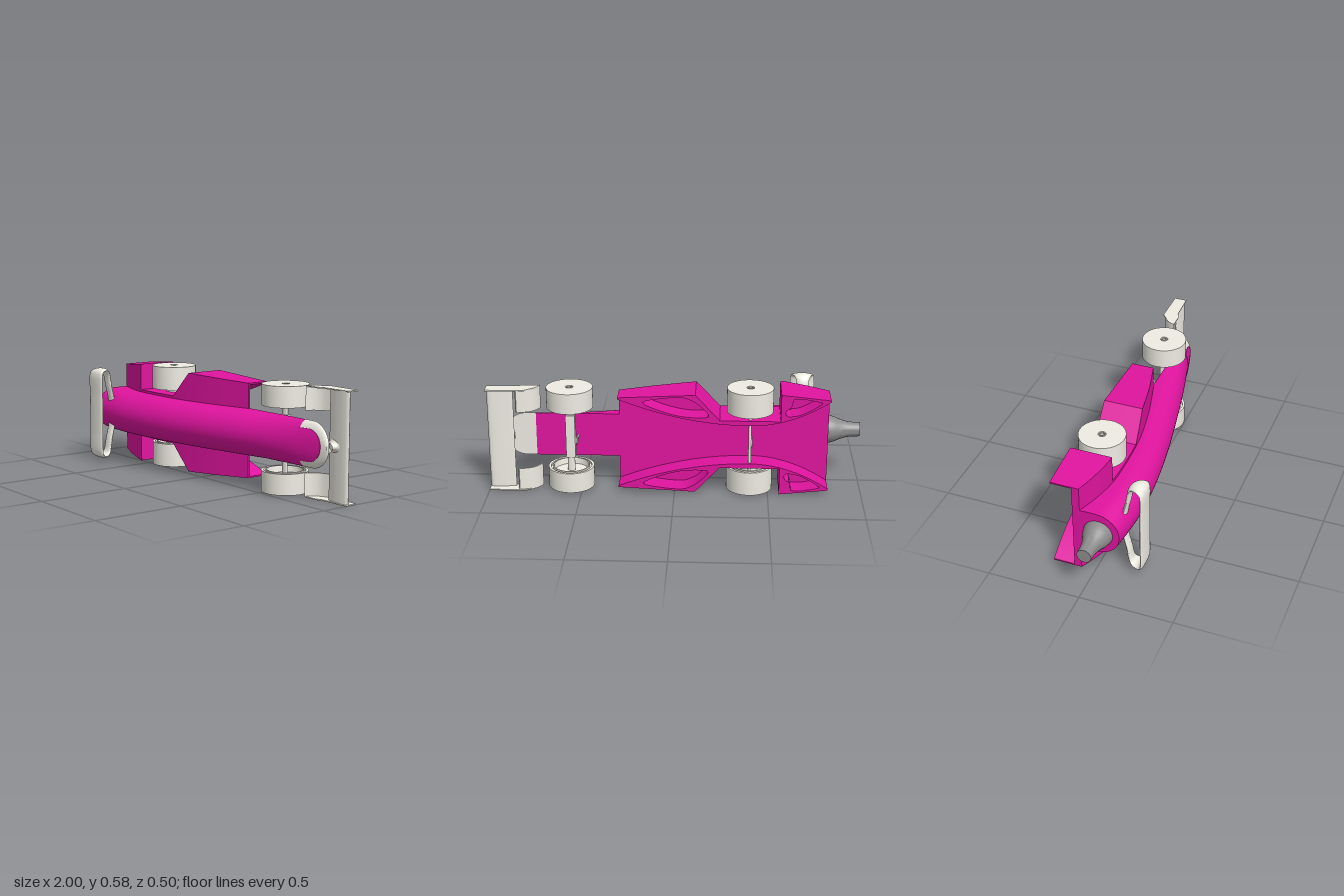
import * as THREE from 'three';
import { toCreasedNormals } from 'three/addons/utils/BufferGeometryUtils.js';

const paint = new THREE.MeshStandardMaterial({ color: 0xe0149f });
const pale = new THREE.MeshStandardMaterial({ color: 0xeeece2 });
const paleThin = new THREE.MeshStandardMaterial({ color: 0xeeece2, side: THREE.DoubleSide });
const dark = new THREE.MeshStandardMaterial({ color: 0x8c8c8c });

// Linear lookup in a list of [x, value] pairs
function lookup(table, x) {
  for (let i = 1; i < table.length; i++) {
    const [x0, v0] = table[i - 1], [x1, v1] = table[i];
    if (x <= x1) return x1 === x0 ? v1 : v0 + (v1 - v0) * (x - x0) / (x1 - x0);
  }
  return table[table.length - 1][1];
}
const smooth = (pts, n = 90) => new THREE.SplineCurve(pts.map((p) => new THREE.Vector2(...p))).getPoints(n).map((p) => [p.x, p.y]);
const range = (a, b, n) => Array.from({ length: n + 1 }, (_, i) => a + (b - a) * i / n);

// Closed skin through rings of [x, y, z], counter-clockwise as seen from +x
function loft(rings) {
  const n = rings[0].length, index = [], last = (rings.length - 1) * n;
  for (let i = 0; i < rings.length - 1; i++) {
    for (let j = 0; j < n; j++) {
      const a = i * n + j, b = i * n + (j + 1) % n;
      index.push(a, b, a + n, b, b + n, a + n);
    }
  }
  for (let j = 1; j < n - 1; j++) index.push(0, j + 1, j, last, last + j, last + j + 1);
  const g = new THREE.BufferGeometry();
  g.setAttribute('position', new THREE.Float32BufferAttribute(rings.flat(2), 3));
  g.setIndex(index);
  return toCreasedNormals(g, 0.6);
}

// Outline of [x, z] points given a width along y, centred on y = 0
function extrudeAlongY(outline, width) {
  const shape = new THREE.Shape(outline.map((p) => new THREE.Vector2(...p)));
  const g = new THREE.ExtrudeGeometry(shape, { depth: width, bevelEnabled: false });
  return toCreasedNormals(g.translate(0, 0, -width / 2).rotateX(Math.PI / 2), 0.6);
}

// Car lies on its side: nose +x, roof +z, width along y
const FLOOR = -0.1, HALF = 0.121;
const roof = smooth([[-0.82, 0.15], [-0.7, 0.164], [-0.55, 0.171], [-0.3, 0.158], [0, 0.118], [0.3, 0.062], [0.5, 0.02], [0.75, -0.04], [0.92, -0.083]]);
const podTop = smooth([[-0.82, -0.06], [-0.7, -0.018], [-0.56, 0.012], [-0.4, 0.018], [-0.24, 0.014], [-0.1, 0], [0.1, -0.038], [0.3, -0.09]]);
const podOuter = [[-0.82, 0.256], [-0.56, 0.283], [-0.56, 0.135], [-0.24, 0.135], [-0.11, 0.276], [0.3, 0.256]];
const podInner = (x) => 0.108 + 0.14 * ((x + 0.4) / (x < -0.4 ? 0.42 : 0.7)) ** 2;

// Flat-bottomed, round-topped section; w may be narrower than the full arch
function section(x, w, full = w, lift = 0) {
  const h = lookup(roof, x) - FLOOR, r = Math.min(0.125, h);
  const arch = range(0, Math.PI, 24).map((a) => {
    const y = w * Math.cos(a);
    return [x, y, FLOOR + h - r + r * Math.sqrt(Math.max(0, 1 - (y / full) ** 2)) + lift];
  });
  return [[x, -w, FLOOR + lift], [x, w, FLOOR + lift], ...arch];
}
const roundEnd = (x, r) => (x < 0.8 ? r : Math.max(0.003, Math.sqrt(Math.max(0, r * r - (x - 0.8) ** 2))));

export function createModel() {
  const model = new THREE.Group();
  model.name = 'racingCar';
  const car = new THREE.Group();
  car.name = 'car';
  car.position.y = 0.288;
  model.add(car);
  const add = (name, geometry, material, x = 0, y = 0, z = 0) => {
    const mesh = new THREE.Mesh(geometry, material);
    mesh.name = name;
    mesh.position.set(x, y, z);
    car.add(mesh);
  };

  // Body, nose rim and the painted tongue inside the rim
  add('body', loft(range(-0.82, 0.75, 50).map((x) => section(x, HALF))), paint);
  const noseXs = range(0, Math.PI / 2, 16).map((a) => 0.8 + HALF * Math.sin(a));
  add('nose', loft([0.75, ...noseXs].map((x) => section(x, roundEnd(x, HALF)))), pale);
  const tongueXs = range(0, Math.PI / 2, 14).map((a) => 0.8 + 0.085 * Math.sin(a));
  add('noseTongue', loft([0.74, ...tongueXs].map((x) => section(x, roundEnd(x, 0.085), roundEnd(x, HALF), 0.003))), paint);

  // Side pod upper slab, stepping in beside the rear wheels
  const slabXs = [...range(-0.82, -0.5601, 8), ...range(-0.5599, -0.24, 6), ...range(-0.22, -0.11, 4), ...range(-0.09, 0.3, 12)];
  add('sidePodTops', loft(slabXs.map((x) => {
    const o = lookup(podOuter, x), t = lookup(podTop, x);
    return [[x, -o, FLOOR], [x, o, FLOOR], [x, o, t], [x, -o, t]];
  })), paint);

  // Lower side pods: curved tunnel wall inside, pockets open underneath
  for (const s of [1, -1]) {
    const v = (x, y) => new THREE.Vector2(x, y);
    const shape = new THREE.Shape([
      ...podOuter.map(([x, d]) => v(x, s * d)),
      ...range(0.3, -0.82, 40).map((x) => v(x, s * podInner(x))),
    ]);
    for (const [x0, x1] of [[-0.775, -0.585], [-0.18, 0.165]]) {
      shape.holes.push(new THREE.Path(range(0, 2 * Math.PI, 40).slice(0, -1).map((a) => {
        const x = (x0 + x1) / 2 - Math.cos(a) * (x1 - x0) / 2;
        const lo = podInner(x) + 0.01;
        const hi = (lookup(podOuter, x - 0.06) + lookup(podOuter, x) + lookup(podOuter, x + 0.06)) / 3 - 0.01;
        const k = Math.sign(Math.sin(a)) * Math.abs(Math.sin(a)) ** 0.8;
        return v(x, s * (lo + hi) / 2 - k * (hi - lo) / 2);
      })));
    }
    const g = new THREE.ExtrudeGeometry(shape, { depth: 0.117, bevelEnabled: false });
    add(s > 0 ? 'leftSidePod' : 'rightSidePod', toCreasedNormals(g, 0.5), paint, 0, 0, -0.215);
  }

  // Exhaust cone at the tail
  const cone = smooth([[0.078, 0], [0.07, 0.035], [0.052, 0.08], [0.042, 0.12], [0.038, 0.18]], 30);
  const exhaust = new THREE.LatheGeometry([[0, 0], ...cone, [0, 0.18]].map((p) => new THREE.Vector2(...p)), 32);
  add('exhaust', toCreasedNormals(exhaust.rotateZ(Math.PI / 2), 0.6), dark, -0.82, 0, 0.036);

  // Rear wing: closed hoop, its chord widening toward the top
  const hoopHalf = [[0.235, 0], [0.235, 0.1], [0.235, 0.22], [0.228, 0.24], [0.21, 0.249], [0.185, 0.248], [0.167, 0.232], [0.15, 0.15], [0.133, 0.07]];
  const hoop = [...hoopHalf, ...hoopHalf.slice(1).reverse().map(([z, y]) => [z, -y])].map(([z, y]) => new THREE.Vector3(0, y, z));
  const wing = new THREE.TubeGeometry(new THREE.CatmullRomCurve3(hoop, true, 'centripetal'), 140, 0.0118, 16, true);
  const wp = wing.attributes.position;
  for (let i = 0; i < wp.count; i++) {
    const half = 0.03 + Math.max(0, wp.getZ(i) - 0.155) * 0.45;
    wp.setX(i, wp.getX(i) / 0.0118 * half);
  }
  add('rearWing', toCreasedNormals(wing, 0.9), pale, -0.69);

  // Wheels: hub hole outside, dished inside
  const wheel = (name, x, z, outer, width, s) => {
    const prof = [[0, -0.008], [0.011, -0.008], [0.011, 0], [0.014, 0], [0.014, -0.01], [0.021, -0.01], [0.021, 0], [0.124, 0],
      [0.124, -width], [0.11, -width], [0.11, -width + 0.012], [0.1, -width + 0.012], [0.1, -width - 0.003], [0.094, -width - 0.003], [0.09, -width + 0.03], [0, -width + 0.03]]
      .map(([r, y]) => new THREE.Vector2(r, y)).reverse();
    const g = toCreasedNormals(new THREE.LatheGeometry(prof, 48), 0.5);
    if (s < 0) g.rotateX(Math.PI);
    add(name, g, pale, x, s * outer, z);
  };
  for (const s of [1, -1]) {
    const side = s > 0 ? 'left' : 'right';
    wheel(side + 'FrontWheel', 0.562, -0.123, 0.281, 0.111, s);
    wheel(side + 'RearWheel', -0.4, -0.108, 0.285, 0.13, s);
    add(side + 'RearHub', new THREE.CylinderGeometry(0.045, 0.045, 0.07, 24), pale, -0.4, s * 0.15, -0.108);
  }

  // Axles
  add('frontAxle', new THREE.CylinderGeometry(0.02, 0.02, 0.46, 20).scale(1, 1, 0.5), pale, 0.562, 0, -0.122);
  add('frontAxleBeam', new THREE.BoxGeometry(0.05, 0.24, 0.04), pale, 0.562, 0, -0.119);
  add('rearAxle', new THREE.CylinderGeometry(0.008, 0.008, 0.36, 16), pale, -0.4, 0, -0.194);

  // Screw eyes under the floor
  for (const [name, x] of [['frontEye', 0.52], ['rearEye', -0.41]]) {
    add(name, new THREE.TorusGeometry(0.019, 0.005, 10, 24).rotateY(Math.PI / 2), pale, x, 0, -0.184);
    add(name + 'Stem', new THREE.CylinderGeometry(0.005, 0.005, 0.07, 10).rotateX(Math.PI / 2), pale, x, 0, -0.132);
  }

  // Front wing: main plane, end plates and curved flaps
  const upper = smooth([[0.86, -0.158], [0.91, -0.148], [0.97, -0.147], [0.995, -0.153], [1, -0.16]], 16);
  const lower = smooth([[1, -0.16], [0.985, -0.171], [0.93, -0.17], [0.86, -0.161]], 16);
  add('frontWing', extrudeAlongY([...upper, ...lower.slice(1, -1)], 0.57), pale);
  const flapLine = smooth([[0.718, -0.122], [0.735, -0.158], [0.77, -0.19], [0.835, -0.21]], 12);
  const flapOutline = [...flapLine, ...flapLine.map(([x, z]) => [x + 0.006, z + 0.006]).reverse()];
  const plateOutline = [...flapLine.slice(0, 6), [0.8, -0.214], [1, -0.214], [1, -0.144], [0.84, -0.138], [0.8, -0.122]];
  for (const s of [1, -1]) {
    const side = s > 0 ? 'left' : 'right';
    add(side + 'EndPlate', extrudeAlongY(plateOutline, 0.006), paleThin, 0, s * 0.285);
    add(side + 'Flap', extrudeAlongY(flapOutline, 0.125), paleThin, 0, s * 0.2235);
  }

  // Flared pylon between the nose and the front wing
  const pylonProfile = smooth([[0.036, 0], [0.022, 0.012], [0.018, 0.03], [0.022, 0.045], [0.03, 0.055]], 20).map((p) => new THREE.Vector2(...p));
  add('wingPylon', new THREE.LatheGeometry(pylonProfile, 24).rotateX(Math.PI / 2).scale(1.4, 1, 1), paleThin, 0.905, 0, -0.152);

  return model;
}
